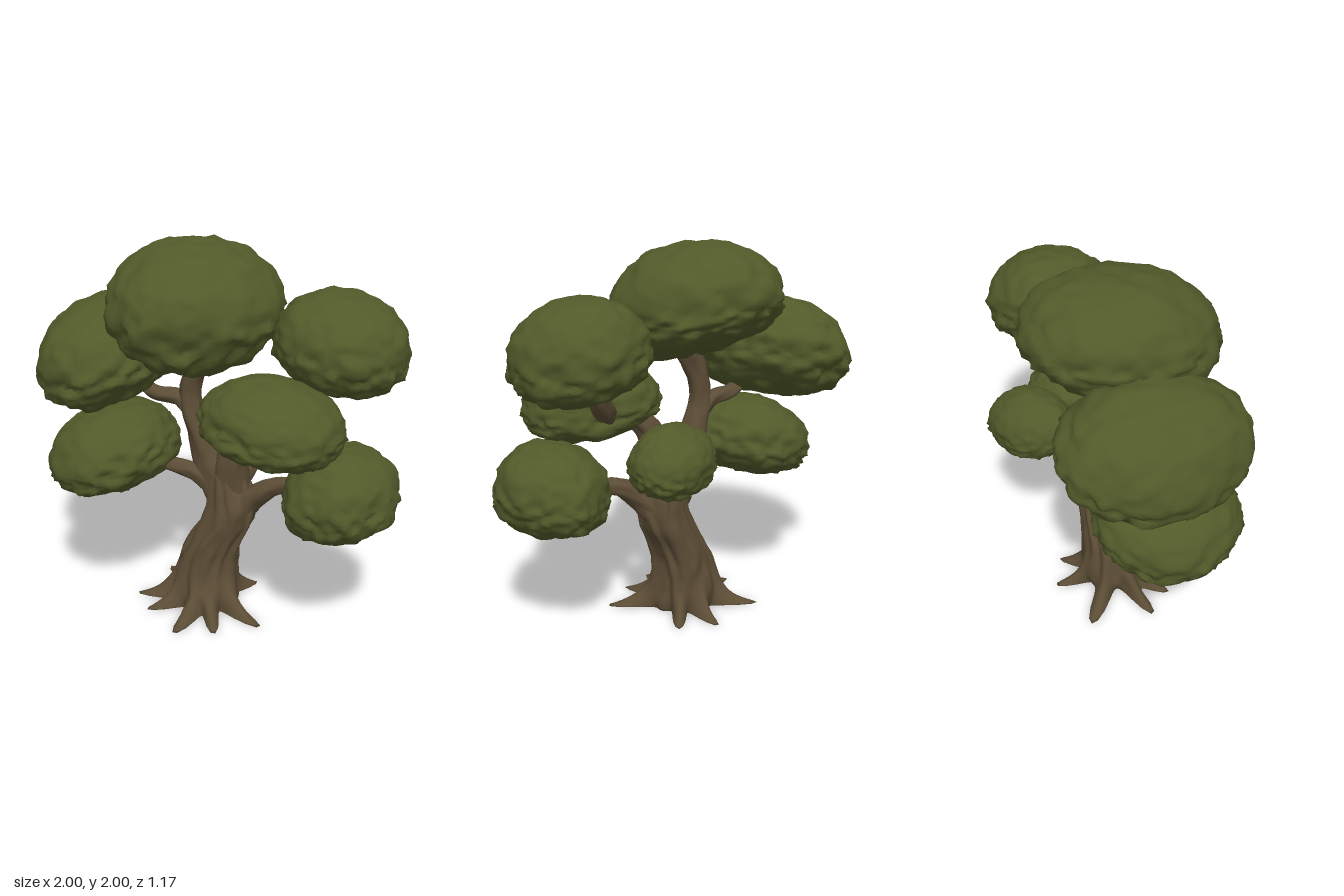
import * as THREE from 'three';
import { mergeVertices } from 'three/addons/utils/BufferGeometryUtils.js';

// Smooth 3D value noise in -1..1
function hash(x, y, z) {
  const s = Math.sin(x * 127.1 + y * 311.7 + z * 74.7) * 43758.5453;
  return (s - Math.floor(s)) * 2 - 1;
}
function noise(x, y, z) {
  const c = [x, y, z].map(Math.floor);
  const [u, v, w] = [x - c[0], y - c[1], z - c[2]].map(t => t * t * (3 - 2 * t));
  let sum = 0;
  for (let i = 0; i < 8; i++) {
    const a = i & 1, b = (i >> 1) & 1, d = i >> 2;
    sum += hash(c[0] + a, c[1] + b, c[2] + d) * (a ? u : 1 - u) * (b ? v : 1 - v) * (d ? w : 1 - w);
  }
  return sum;
}

// Closed rings joined into a skin; point(i, angle) returns a Vector3
function loft(rows, cols, point) {
  const pos = [], index = [];
  for (let i = 0; i < rows; i++) {
    for (let j = 0; j < cols; j++) {
      pos.push(...point(i, (j / cols) * Math.PI * 2).toArray());
      if (i === rows - 1) continue;
      const k = (j + 1) % cols;
      const a = i * cols + j, b = i * cols + k, c = b + cols, d = a + cols;
      index.push(a, b, c, a, c, d);
    }
  }
  const geo = new THREE.BufferGeometry();
  geo.setAttribute('position', new THREE.Float32BufferAttribute(pos, 3));
  geo.setIndex(index);
  geo.computeVertexNormals();
  return geo;
}

// Leaning trunk: rows of [y, centre x, centre z, radius], with roots flaring at the foot
function trunkGeometry() {
  const keys = [
    [0, -0.04, 0.04, 0.2], [0.1, -0.05, 0.035, 0.185], [0.2, -0.05, 0.03, 0.17],
    [0.3, -0.035, 0.025, 0.16], [0.4, 0.01, 0.02, 0.15], [0.5, 0.065, 0.015, 0.147],
    [0.6, 0.09, 0.015, 0.138], [0.7, 0.08, 0.01, 0.125], [0.8, 0.065, 0.01, 0.095], [0.86, 0.065, 0.01, 0.01],
  ];
  const roots = [[340, 0.42], [303, 0.37], [272, 0.39], [228, 0.37], [200, 0.4], [150, 0.43], [96, 0.37], [60, 0.32]];
  const sample = y => {
    let k = 0;
    while (k < keys.length - 2 && y > keys[k + 1][0]) k++;
    const t = (y - keys[k][0]) / (keys[k + 1][0] - keys[k][0]);
    return keys[k].map((v, n) => THREE.MathUtils.lerp(v, keys[k + 1][n], t));
  };
  const rows = 38;
  return loft(rows, 96, (i, a) => {
    // The first row closes the underside
    const y = i === 0 ? 0 : 0.86 * Math.pow((i - 1) / (rows - 2), 1.5);
    const [, cx, cz, r] = sample(y);
    if (i === 0) return new THREE.Vector3(cx, 0.05, cz);
    const wobble = noise(Math.cos(a) * 2, y * 6, Math.sin(a) * 2);
    let radius = r * (0.97 + 0.05 * Math.sin(a * 9 + y * 7 + 3 * wobble)
      + 0.07 * noise(Math.cos(a) * 3, y * 8, Math.sin(a) * 3));
    const foot = Math.exp(-y / 0.06);
    radius -= 0.05 * foot;
    for (const [deg, length] of roots) {
      const turn = a - deg * Math.PI / 180;
      const d = Math.atan2(Math.sin(turn), Math.cos(turn));
      radius += (length - 0.15) * foot * Math.exp(-Math.pow(d / 0.18, 2));
      radius += 0.01 * Math.exp(-y / 0.25) * Math.exp(-Math.pow(d / 0.22, 2));
    }
    return new THREE.Vector3(cx + Math.cos(a) * radius, y, cz - Math.sin(a) * radius);
  });
}

// Knobbly tapering branch through [x, y, z, radius] points
function branchGeometry(points) {
  const curve = new THREE.CatmullRomCurve3(points.map(p => new THREE.Vector3(p[0], p[1], p[2])));
  const steps = 24, frames = curve.computeFrenetFrames(steps);
  return loft(steps + 1, 24, (i, a) => {
    const s = (i / steps) * (points.length - 1), k = Math.min(Math.floor(s), points.length - 2);
    const p = curve.getPoint(i / steps);
    const r = THREE.MathUtils.lerp(points[k][3], points[k + 1][3], s - k);
    const bump = 1 + 0.07 * Math.sin(a * 5 + i * 0.35) + 0.12 * noise(p.x * 14 + Math.cos(a), p.y * 14, Math.sin(a) * 2);
    return p.addScaledVector(frames.normals[i], Math.cos(a) * r * bump)
      .addScaledVector(frames.binormals[i], Math.sin(a) * r * bump);
  });
}

// Lumpy leaf dome, rougher and fuller below, fitted to a box.
// drop deepens the underside toward the front, skew draws the plan out along a diagonal
function foliageGeometry({ lo, hi, tiltX = 0, tiltZ = 0, drop = 0, skew = 0 }, seed) {
  let geo = new THREE.IcosahedronGeometry(1, 13);
  geo.deleteAttribute('uv');
  geo.deleteAttribute('normal');
  geo = mergeVertices(geo, 1e-4);
  const p = geo.attributes.position, v = new THREE.Vector3();
  for (let i = 0; i < p.count; i++) {
    v.fromBufferAttribute(p, i);
    const rough = v.y < 0.1 ? 0.075 : 0.04;
    const lumps = 1 + 0.04 * noise(v.x * 2 + seed, v.y * 2, v.z * 2) + rough * noise(v.x * 8 + seed, v.y * 8, v.z * 8);
    const power = v.y < 0 ? 2.4 : 2.05;
    const full = Math.pow(Math.pow(Math.hypot(v.x, v.z), power) + Math.pow(Math.abs(v.y), power), -1 / power);
    v.multiplyScalar(lumps * full);
    if (v.y < 0) v.y *= 0.78 * (1 + drop * v.z);
    p.setXYZ(i, v.x - skew * v.z, v.y, v.z - skew * v.x);
  }
  const size = new THREE.Vector3(hi[0] - lo[0], hi[1] - lo[1], hi[2] - lo[2]);
  geo.scale(size.x, size.y, size.z);
  geo.rotateX(tiltX);
  geo.rotateZ(tiltZ);
  geo.computeBoundingBox();
  const box = geo.boundingBox, now = box.getSize(new THREE.Vector3());
  geo.translate(-box.min.x, -box.min.y, -box.min.z);
  geo.scale(size.x / now.x, size.y / now.y, size.z / now.z);
  geo.translate(...lo);
  geo.computeVertexNormals();
  return geo;
}

export function createModel() {
  const bark = new THREE.MeshStandardMaterial({ color: 0x5c4d36 });
  bark.name = 'bark brown';
  const leaf = new THREE.MeshStandardMaterial({ color: 0x525a2a });
  leaf.name = 'leaf green';

  const tree = new THREE.Group();
  tree.name = 'tree';
  const add = (name, geo, mat) => {
    const mesh = new THREE.Mesh(geo, mat);
    mesh.name = name;
    tree.add(mesh);
  };

  add('trunk', trunkGeometry(), bark);

  const branches = {
    crownBranch: [[0.07, 0.5, 0.01, 0.08], [0.01, 0.7, 0.01, 0.095], [-0.05, 0.85, 0.01, 0.085], [-0.1, 1.0, 0.02, 0.07],
      [-0.15, 1.15, 0.03, 0.056], [-0.13, 1.3, 0.03, 0.055], [-0.05, 1.48, 0.03, 0.07]],
    middleBranch: [[0.09, 0.5, 0.01, 0.08], [0.095, 0.7, 0.02, 0.1], [0.105, 0.86, 0.03, 0.085],
      [0.15, 1.03, 0.04, 0.07], [0.26, 1.14, 0.06, 0.055], [0.4, 1.22, 0.1, 0.03]],
    upperRightBranch: [[0.26, 1.12, 0.05, 0.04], [0.4, 1.15, -0.03, 0.05], [0.49, 1.24, -0.14, 0.055], [0.56, 1.42, -0.22, 0.05]],
    upperLeftBranch: [[-0.12, 1.08, 0.02, 0.055], [-0.22, 1.16, 0.03, 0.042], [-0.36, 1.18, 0.06, 0.038], [-0.5, 1.28, 0.08, 0.03]],
    lowerRightBranch: [[0.12, 0.58, 0.01, 0.09], [0.22, 0.67, 0.01, 0.06], [0.34, 0.75, 0.01, 0.048], [0.55, 0.8, 0.01, 0.038]],
    lowerLeftBranch: [[0.03, 0.68, 0.02, 0.07], [-0.11, 0.77, 0.07, 0.045], [-0.22, 0.81, 0.12, 0.038], [-0.42, 0.86, 0.18, 0.03]],
    backBranch: [[0.1, 0.7, -0.03, 0.06], [0.15, 0.82, -0.14, 0.042], [0.22, 0.97, -0.32, 0.03]],
  };
  for (const [name, points] of Object.entries(branches)) add(name, branchGeometry(points), bark);

  // Lowest and highest corner of each clump, with its lean
  const clumps = {
    crownFoliage: { lo: [-0.55, 1.35, -0.46], hi: [0.35, 2.0, 0.55], tiltX: 0.08, tiltZ: -0.12, drop: 0.35 },
    upperLeftFoliage: { lo: [-1.0, 1.1, -0.4], hi: [-0.23, 1.7, 0.58], tiltX: 0.15, tiltZ: 0.25, skew: -0.06 },
    lowerLeftFoliage: { lo: [-0.89, 0.63, -0.2], hi: [-0.17, 1.13, 0.58], tiltX: 0.08, tiltZ: 0.28 },
    upperRightFoliage: { lo: [0.25, 1.27, -0.51], hi: [0.95, 1.78, 0.2], tiltZ: -0.16 },
    lowerRightFoliage: { lo: [0.41, 0.58, -0.33], hi: [1.0, 1.05, 0.36], tiltZ: 0.08 },
    middleFoliage: { lo: [0.02, 0.99, -0.13], hi: [0.77, 1.4, 0.54], tiltZ: -0.12 },
    backFoliage: { lo: [-0.02, 0.81, -0.59], hi: [0.46, 1.17, -0.12], tiltX: -0.12, skew: 0.12 },
  };
  Object.entries(clumps).forEach(([name, clump], i) => add(name, foliageGeometry(clump, i * 17.3), leaf));

  return tree;
}
